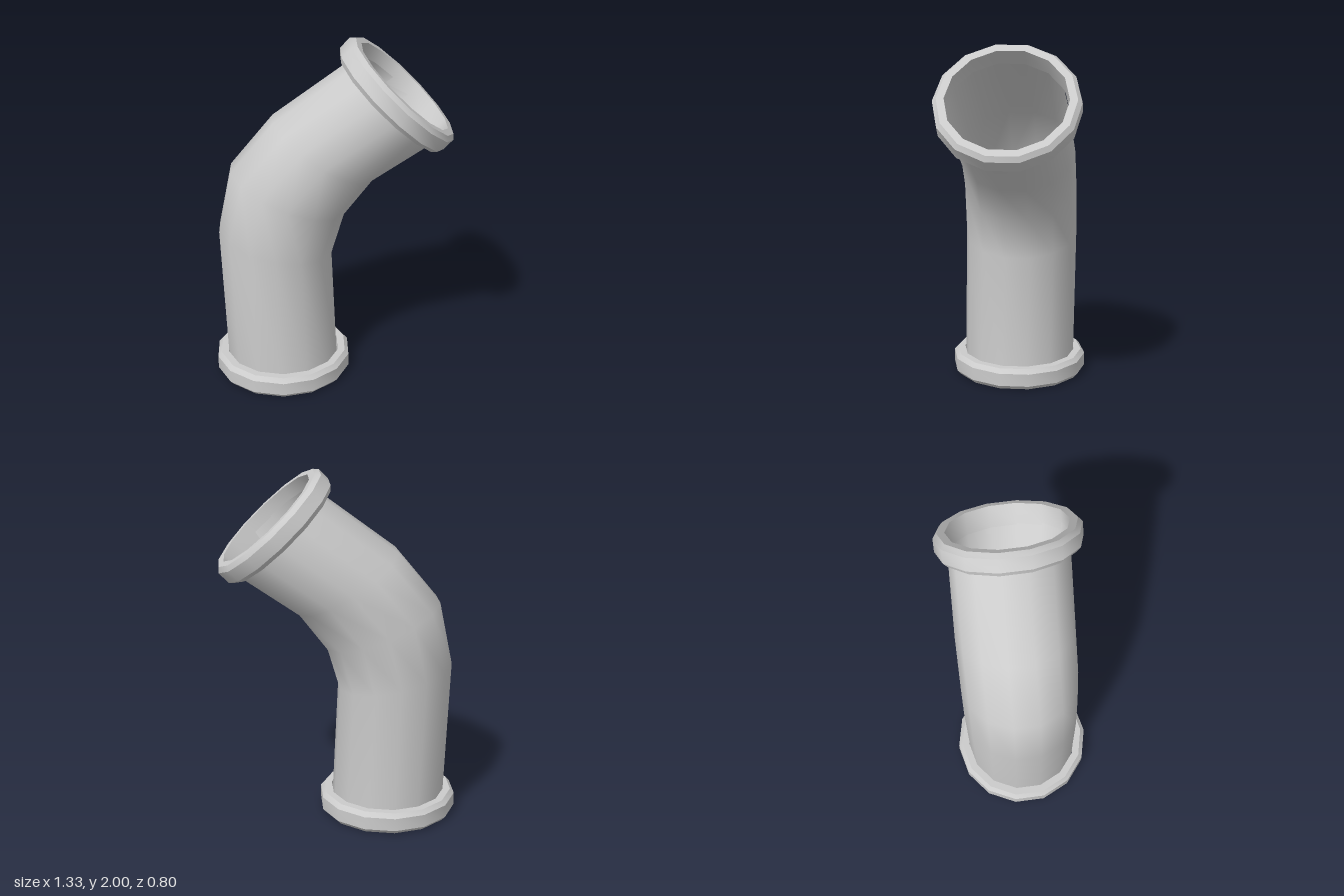
import * as THREE from 'three';
import { toCreasedNormals } from 'three/addons/utils/BufferGeometryUtils.js';

const SIDES = 14;
const grey = new THREE.MeshStandardMaterial({ color: 0xcccccc, side: THREE.DoubleSide });

// Cross-sections of the bent pipe: centre x, y, z, tilt about z, half width in the bend plane
const SECTIONS = [
  [-0.285, 0.05, -0.01, -0.01, 0.326],
  [-0.317, 0.84, -0.02, -0.217, 0.333],
  [-0.245, 1.14, -0.02, -0.391, 0.349],
  [-0.048, 1.388, -0.018, -0.564, 0.331],
  [0.365, 1.685, 0, -0.75, 0.322],
];

// Open pipe lofted through the tilted sections
function pipeGeometry() {
  const positions = [], index = [];
  SECTIONS.forEach(([x, y, z, tilt, half], j) => {
    for (let i = 0; i < SIDES; i++) {
      const a = (i / SIDES) * Math.PI * 2;
      const u = half * Math.sin(a);
      positions.push(x + u * Math.cos(tilt), y + u * Math.sin(tilt), z + 0.326 * Math.cos(a));
      if (j === 0) continue;
      const next = (i + 1) % SIDES;
      const low = (j - 1) * SIDES, high = j * SIDES;
      index.push(low + i, low + next, high + i, low + next, high + next, high + i);
    }
  });
  const geometry = new THREE.BufferGeometry();
  geometry.setAttribute('position', new THREE.Float32BufferAttribute(positions, 3));
  geometry.setIndex(index);
  geometry.computeVertexNormals();
  return geometry;
}

// Flange ring with bevelled outer edges, centred on its own middle
function flangeGeometry() {
  const h = 0.0625, inner = 0.33, face = 0.372, outer = 0.395, bevel = 0.025;
  const profile = [
    [inner, -h], [face, -h], [outer, -h + bevel], [outer, h - bevel],
    [face, h], [inner, h], [inner, -h],
  ].map(([r, y]) => new THREE.Vector2(r, y));
  return toCreasedNormals(new THREE.LatheGeometry(profile, SIDES), 0.6);
}

export function createModel() {
  const model = new THREE.Group();
  model.name = 'pipeElbow';
  const add = (name, geometry) => {
    const mesh = new THREE.Mesh(geometry, grey);
    mesh.name = name;
    model.add(mesh);
    return mesh;
  };

  add('bentPipe', pipeGeometry());

  const flange = flangeGeometry();
  add('bottomFlange', flange).position.set(-0.285, 0.0625, -0.01);

  const top = add('topFlange', flange);
  top.position.set(0.357, 1.705, 0);
  top.rotation.z = -0.757;

  return model;
}
